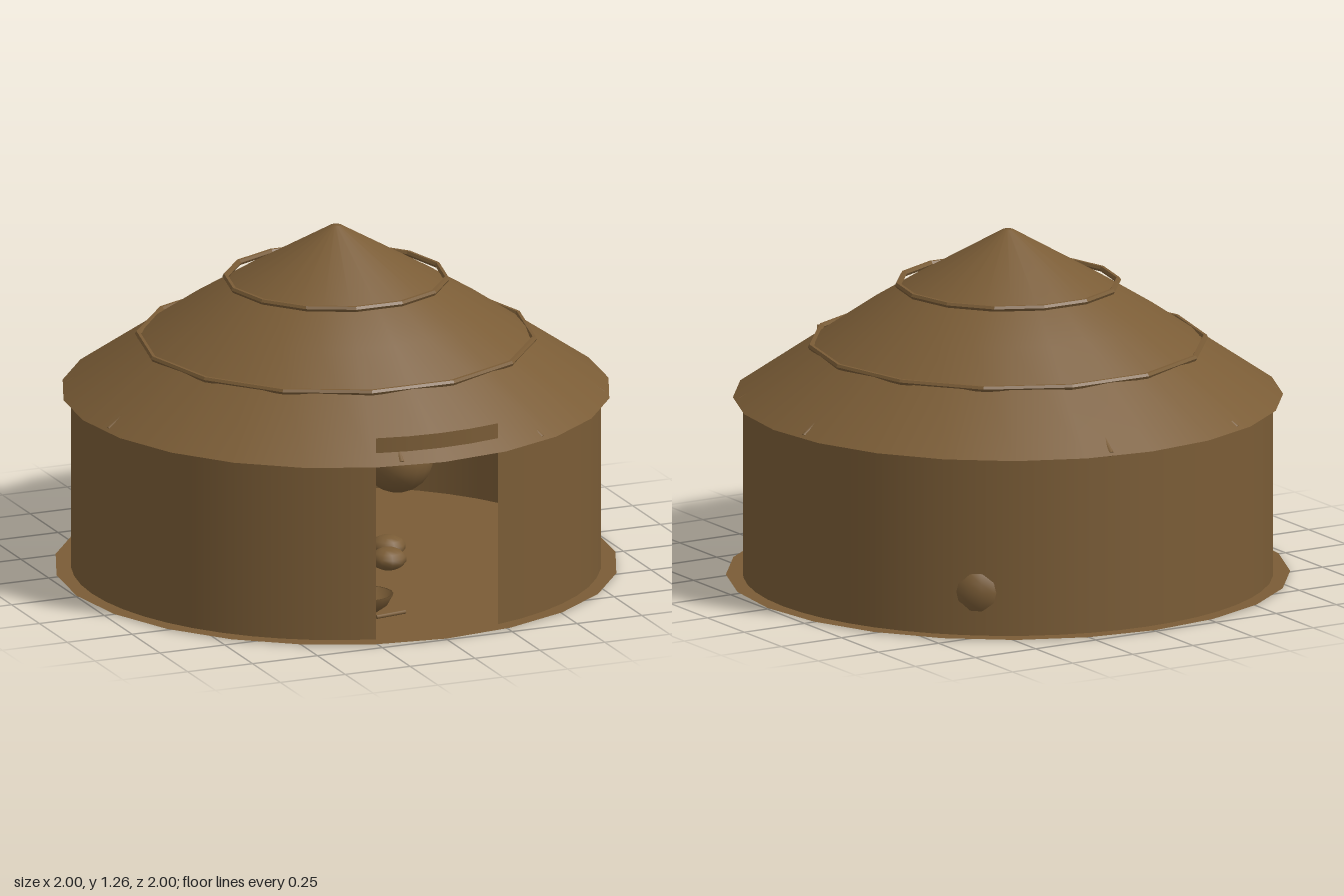
import * as THREE from 'three';

const earth = new THREE.MeshStandardMaterial({ color: 0x7a5c36, side: THREE.DoubleSide });
earth.name = 'earthBrown';

const WALL_R = 0.94, EAVE_Y = 0.65, FLOOR_Y = 0.004;
const DOOR = Math.asin(0.235 / WALL_R); // half angle of the doorway

export function createModel() {
  const model = new THREE.Group();
  const add = (name, geometry, x = 0, y = 0, z = 0) => {
    const mesh = new THREE.Mesh(geometry, earth);
    mesh.name = name;
    mesh.position.set(x, y, z);
    model.add(mesh);
    return mesh;
  };
  const lathe = (points, sides) =>
    new THREE.LatheGeometry(points.map(([r, y]) => new THREE.Vector2(r, y)), sides);
  const rod = (name, a, b, radius) => {
    const mesh = add(name, new THREE.CylinderGeometry(radius, radius, a.distanceTo(b), 8));
    mesh.position.copy(a).lerp(b, 0.5);
    mesh.quaternion.setFromUnitVectors(new THREE.Vector3(0, 1, 0), b.clone().sub(a).normalize());
    return mesh;
  };

  // Thin floor disc
  add('floor', new THREE.CircleGeometry(1, 24).rotateX(-Math.PI / 2), 0, FLOOR_Y, 0);

  // Round wall with a full-height doorway at the front
  add('wall', new THREE.CylinderGeometry(WALL_R, WALL_R, EAVE_Y, 48, 1, true,
    DOOR, Math.PI * 2 - DOOR * 2), 0, EAVE_Y / 2, 0);

  // Curved board above the doorway
  add('lintel', new THREE.CylinderGeometry(WALL_R, WALL_R, 0.055, 4, 1, true,
    -DOOR, DOOR * 2), 0, 0.72, 0);

  // Conical roof with a small flat tip
  add('roof', lathe([[0.975, EAVE_Y], [0.53, 0.955], [0.36, 1.06], [0.02, 1.256], [0, 1.256]], 24));

  // Binding rings on the roof, made of straight lengths
  for (const [name, radius, y] of [['lowerRing', 0.702, 0.845], ['upperRing', 0.392, 1.062]]) {
    const ring = new THREE.TorusGeometry(radius, 0.011, 6, 14).rotateX(Math.PI / 2);
    add(name, ring.toNonIndexed(), 0, y, 0).geometry.computeVertexNormals();
  }

  // Rafters under the roof
  for (let i = 0; i < 10; i++) {
    const a = THREE.MathUtils.degToRad(-9 + i * 36);
    rod('rafter', new THREE.Vector3(Math.sin(a) * 0.95, 0.652, Math.cos(a) * 0.95),
      new THREE.Vector3(Math.sin(a) * 0.03, 1.22, Math.cos(a) * 0.03), 0.012);
  }

  // Sagging hammock slung across the room
  const hammock = new THREE.PlaneGeometry(1.2, 0.3, 24, 8).rotateX(-Math.PI / 2);
  const p = hammock.attributes.position;
  for (let i = 0; i < p.count; i++) {
    const x = p.getX(i), z = p.getZ(i);
    p.setY(i, 0.28 + 0.9 * x * x + 1.8 * z * z);
    p.setZ(i, z * (1 - Math.abs(x) * 1.2));
  }
  hammock.computeVertexNormals();
  add('hammock', hammock, 0, 0, -0.2);

  // Ring of hearth stones in the middle
  for (let i = 0; i < 8; i++) {
    const a = i * Math.PI / 4;
    const stone = add('hearthStone', new THREE.SphereGeometry(0.065, 10, 7),
      Math.sin(a) * 0.2, 0.045, Math.cos(a) * 0.2);
    stone.scale.set(1, 0.62, 1);
    stone.rotation.y = a;
  }

  // Open bowl and spoon near the doorway
  add('bowl', lathe([[0, 0.012], [0.04, 0.015], [0.075, 0.04], [0.097, 0.08], [0.088, 0.08],
    [0.065, 0.045], [0, 0.028]], 20), -0.145, 0, 0.61);
  rod('spoon', new THREE.Vector3(-0.14, 0.014, 0.69), new THREE.Vector3(-0.02, 0.014, 0.67), 0.007);

  // Tall storage jars against the sides
  const jar = lathe([[0, 0], [0.05, 0.004], [0.09, 0.09], [0.115, 0.18], [0.1, 0.24],
    [0.08, 0.26], [0.09, 0.28]], 18);
  add('leftJar', jar, 0.67, 0, 0.28);
  add('rightJar', jar, -0.64, 0, 0.16);

  // Round sack pressed into the rear wall
  add('sack', new THREE.SphereGeometry(0.13, 18, 12), 0.515, 0.16, -0.65);

  return model;
}
